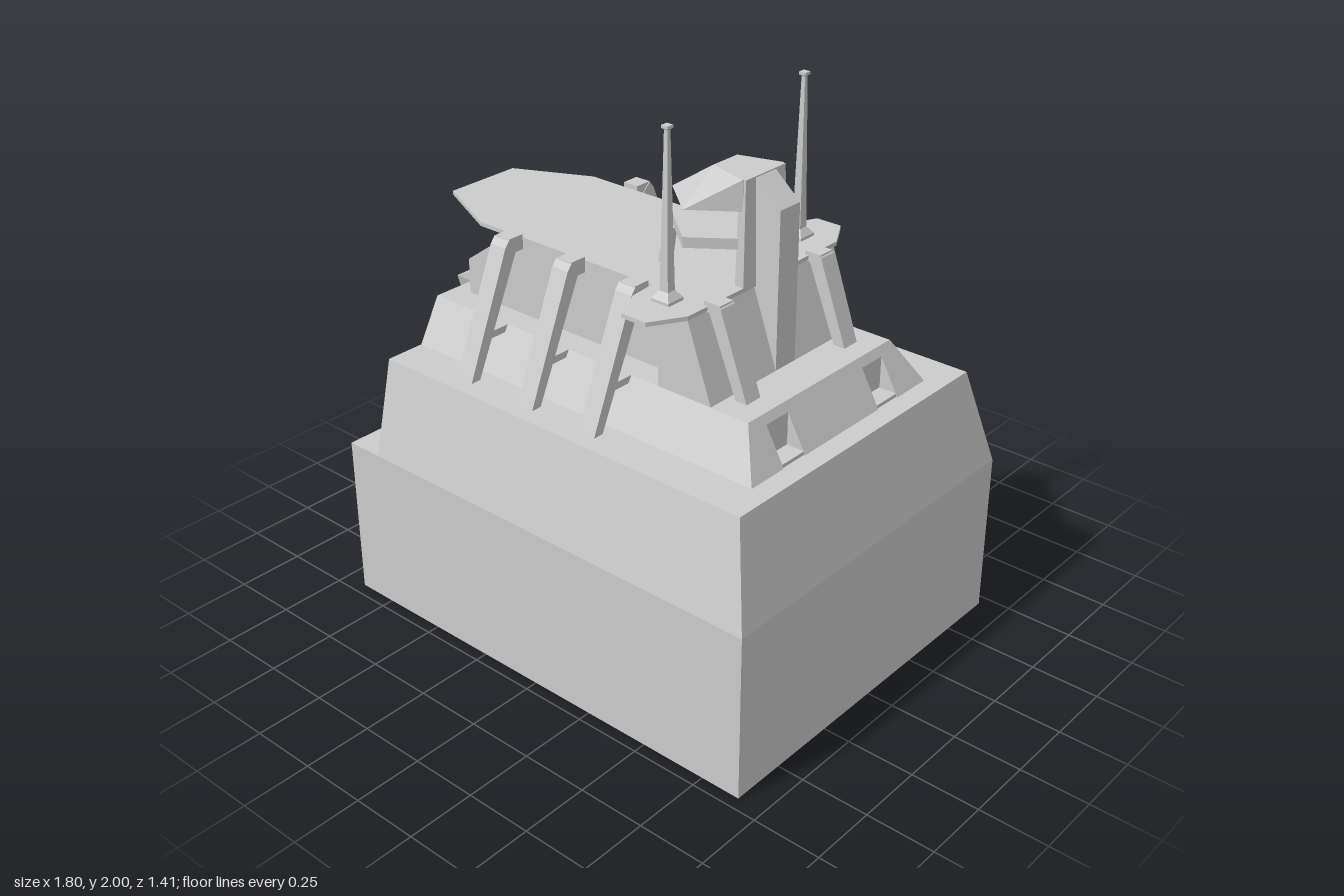
import * as THREE from 'three';
import { ConvexGeometry } from 'three/addons/geometries/ConvexGeometry.js';

export function createModel() {
  const model = new THREE.Group();
  const mat = new THREE.MeshStandardMaterial({ color: 0xcccccc, flatShading: true });

  const add = (name, geometry) => {
    const mesh = new THREE.Mesh(geometry, mat);
    mesh.name = name;
    model.add(mesh);
    return mesh;
  };
  // Convex solid around a few corner points
  const hull = (name, pts) => add(name, new ConvexGeometry(pts.map(p => new THREE.Vector3(...p))));
  // Convex solid from corners given for +z only, mirrored across z = 0
  const symHull = (name, pts) => hull(name, pts.flatMap(([x, y, z]) => [[x, y, z], [x, y, -z]]));
  // Two separate copies, one on each side
  const pair = (name, pts) => [1, -1].forEach(s => hull(name, pts.map(([x, y, z]) => [x, y, z * s])));
  const box = (name, x0, x1, y0, y1, z0, z1) => {
    const g = new THREE.BoxGeometry(x1 - x0, y1 - y0, z1 - z0);
    g.translate((x0 + x1) / 2, (y0 + y1) / 2, (z0 + z1) / 2);
    return add(name, g);
  };
  const boxPair = (name, x0, x1, y0, y1, z0, z1) => {
    box(name, x0, x1, y0, y1, z0, z1);
    box(name, x0, x1, y0, y1, -z1, -z0);
  };

  // Base block and tapered lower tier
  box('base', -0.905, 0.9, 0, 0.615, -0.705, 0.705);
  symHull('lowerTier', [
    [-0.76, 0.615, 0.705], [0.9, 0.615, 0.705], [-0.76, 0.97, 0.62], [0.815, 0.97, 0.62],
  ]);

  // Middle tier, with two notches left open in its sloping end
  symHull('middleTier', [
    [-0.76, 0.97, 0.47], [0.667, 0.97, 0.47], [0.667, 1.1, 0.397],
    [-0.76, 1.13, 0.38], [0.65, 1.13, 0.38],
  ]);
  symHull('slopeCentre', [[0.667, 0.97, 0.2], [0.74, 0.97, 0.2], [0.667, 1.1, 0.2]]);
  pair('slopeCorner', [
    [0.667, 0.97, 0.31], [0.74, 0.97, 0.31], [0.667, 1.1, 0.31],
    [0.667, 0.97, 0.47], [0.74, 0.97, 0.47], [0.667, 1.1, 0.397],
  ]);
  boxPair('notchFloor', 0.66, 0.735, 0.97, 0.983, 0.2, 0.31);

  // Superstructure under the deck, with a sloping tail
  symHull('superstructure', [
    [-0.69, 1.13, 0.285], [-0.69, 1.26, 0.285], [-0.48, 1.41, 0.285],
    [0.4, 1.41, 0.285], [0.5, 1.13, 0.285],
  ]);
  symHull('superstructureFront', [
    [0.28, 1.13, 0.38], [0.28, 1.41, 0.38], [0.4, 1.41, 0.38], [0.5, 1.13, 0.38],
  ]);

  // Tail pillar and the flared housing above it
  symHull('tailPillar', [0.615, 0.915].flatMap(y => [
    [-0.905, y, 0.07], [-0.835, y, 0.15], [-0.75, y, 0.15],
  ]));
  symHull('tailHousing', [
    [-0.835, 0.915, 0.15], [-0.75, 0.915, 0.15], [-0.835, 1.13, 0.215],
    [-0.75, 1.13, 0.215], [-0.69, 1.2, 0.215], [-0.68, 1.13, 0.215],
  ]);

  // Thin deck with pointed tail and two side wings
  const half = [[-0.905, 0.15], [-0.62, 0.285], [0.17, 0.285], [0.18, 0.385],
    [0.24, 0.505], [0.34, 0.505], [0.41, 0.385]];
  const outline = [...half, ...half.map(([x, z]) => [x, -z]).reverse()];
  const deck = new THREE.ExtrudeGeometry(
    new THREE.Shape(outline.map(p => new THREE.Vector2(...p))), { depth: 0.015, bevelEnabled: false });
  deck.rotateX(Math.PI / 2).translate(0, 1.42, 0);
  add('deck', deck);

  // Side struts: a cap at the deck edge, a leaning leg and a short tie
  for (const x of [-0.44, -0.15, 0.13]) {
    const a = x - 0.035, b = x + 0.035;
    pair('sideStrut', [a, b].flatMap(px => [
      [px, 1.4, 0.32], [px, 1.435, 0.355], [px, 1.41, 0.375], [px, 0.97, 0.52], [px, 0.97, 0.56],
    ]).map(([px, y, z]) => [px, y, z]));
    boxPair('strutCap', a + 0.003, b - 0.003, 1.38, 1.435, 0.29, 0.357);
    boxPair('strutTie', a, b, 1.105, 1.13, 0.37, 0.475);
  }

  // Front struts
  pair('frontStrut', [0.225, 0.295].flatMap(z => [
    [0.42, 1.4, z], [0.455, 1.435, z], [0.465, 1.425, z], [0.53, 1.13, z], [0.575, 1.13, z],
  ]));
  boxPair('frontStrutCap', 0.395, 0.46, 1.4, 1.435, 0.228, 0.292);

  // Tower: rear column, back wall, lookout ring, legs and canopy
  symHull('towerColumn', [
    [0.395, 1.13, 0.05], [0.5, 1.13, 0.05], [0.5, 1.69, 0.05], [0.395, 1.78, 0.05],
  ]);
  symHull('towerWall', [
    [0.375, 1.42, 0.115], [0.41, 1.42, 0.115], [0.375, 1.69, 0.105],
    [0.4, 1.69, 0.105], [0.375, 1.78, 0.1], [0.4, 1.78, 0.1],
  ]);
  symHull('lookoutRing', [1.545, 1.582].flatMap(y => [
    [0.085, y, 0.085], [0.24, y, 0.215], [0.395, y, 0.1],
  ]));
  pair('ringLeg', [0.1, 0.13].flatMap(z => [
    [0.062, 1.42, z], [0.1, 1.42, z], [0.088, 1.55, z], [0.12, 1.55, z],
  ]));
  symHull('canopy', [
    [0.08, 1.675, 0.08], [0.24, 1.675, 0.215], [0.4, 1.675, 0.1],
    [0.235, 1.78, 0.06], [0.39, 1.78, 0.105],
  ]);

  // Square tapering masts with flared foot and small cap
  const profile = [[0, 1.42], [0.036, 1.42], [0.036, 1.43], [0.017, 1.455],
    [0.007, 1.985], [0.013, 1.99], [0.013, 2], [0, 2]];
  for (const s of [1, -1]) {
    const g = new THREE.LatheGeometry(
      profile.map(([r, y]) => new THREE.Vector2(r * Math.SQRT2, y)), 4, Math.PI / 4);
    add('mast', g.translate(0.285, 0, 0.34 * s));
  }
  return model;
}
